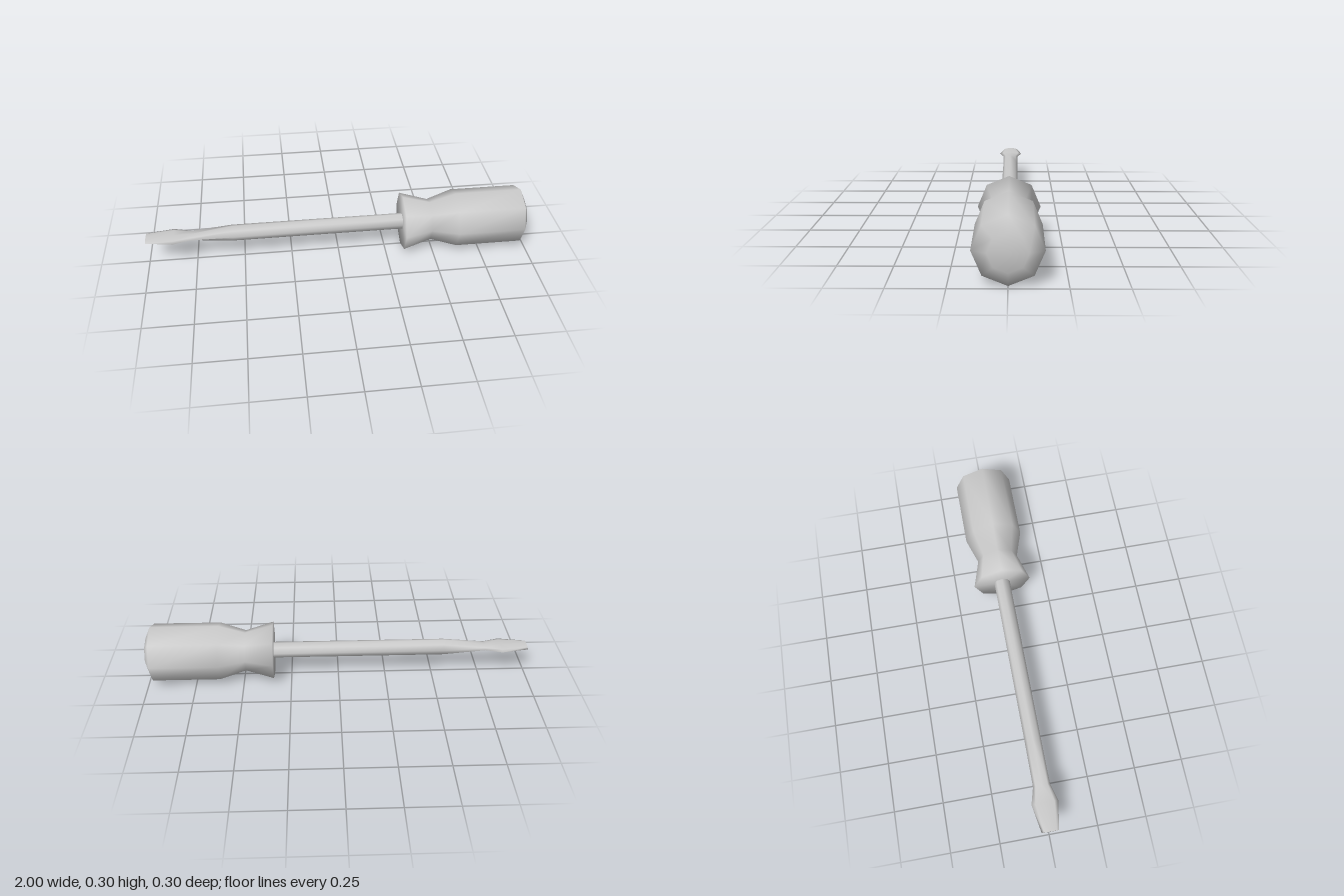
import * as THREE from 'three';
import { mergeVertices } from 'three/addons/utils/BufferGeometryUtils.js';

const SIDES = 8;
const AXIS_HEIGHT = 0.152;

// Smooth eight-sided loft along x; each section is [x, half height, half depth]
function loft(name, sections, material) {
  const points = sections.map(([x]) => new THREE.Vector2(1, x));
  let geometry = new THREE.LatheGeometry(points, SIDES);
  geometry.rotateZ(-Math.PI / 2);
  const position = geometry.attributes.position;
  for (let i = 0; i < position.count; i++) {
    const [x, halfY, halfZ] = sections[i % sections.length];
    position.setXYZ(i, x, position.getY(i) * halfY, position.getZ(i) * halfZ);
  }
  geometry.deleteAttribute('uv');
  geometry.deleteAttribute('normal');
  geometry = mergeVertices(geometry, 1e-5);
  geometry.computeVertexNormals();
  const mesh = new THREE.Mesh(geometry, material);
  mesh.name = name;
  mesh.position.y = AXIS_HEIGHT;
  return mesh;
}

export function createModel() {
  const group = new THREE.Group();
  group.name = 'screwdriver';
  const material = new THREE.MeshStandardMaterial({ color: 0xcccccc });

  // Handle: flared collar, waist, straight grip and bevelled end
  const handleProfile = [
    [0.34, 0], [0.34, 0.152], [0.485, 0.108], [0.62, 0.152],
    [0.97, 0.152], [1, 0.086], [1, 0],
  ];
  group.add(loft('handle', handleProfile.map(([x, r]) => [x, r, r]), material));

  // Shaft: round rod that flattens into a flared blade with a blunt tip
  group.add(loft('shaftAndBlade', [
    [-1, 0, 0],
    [-1, 0.009, 0.043],
    [-0.86, 0.009, 0.067],
    [-0.775, 0.009, 0.043],
    [-0.555, 0.042, 0.042],
    [0.345, 0.042, 0.042],
  ], material));

  return group;
}
